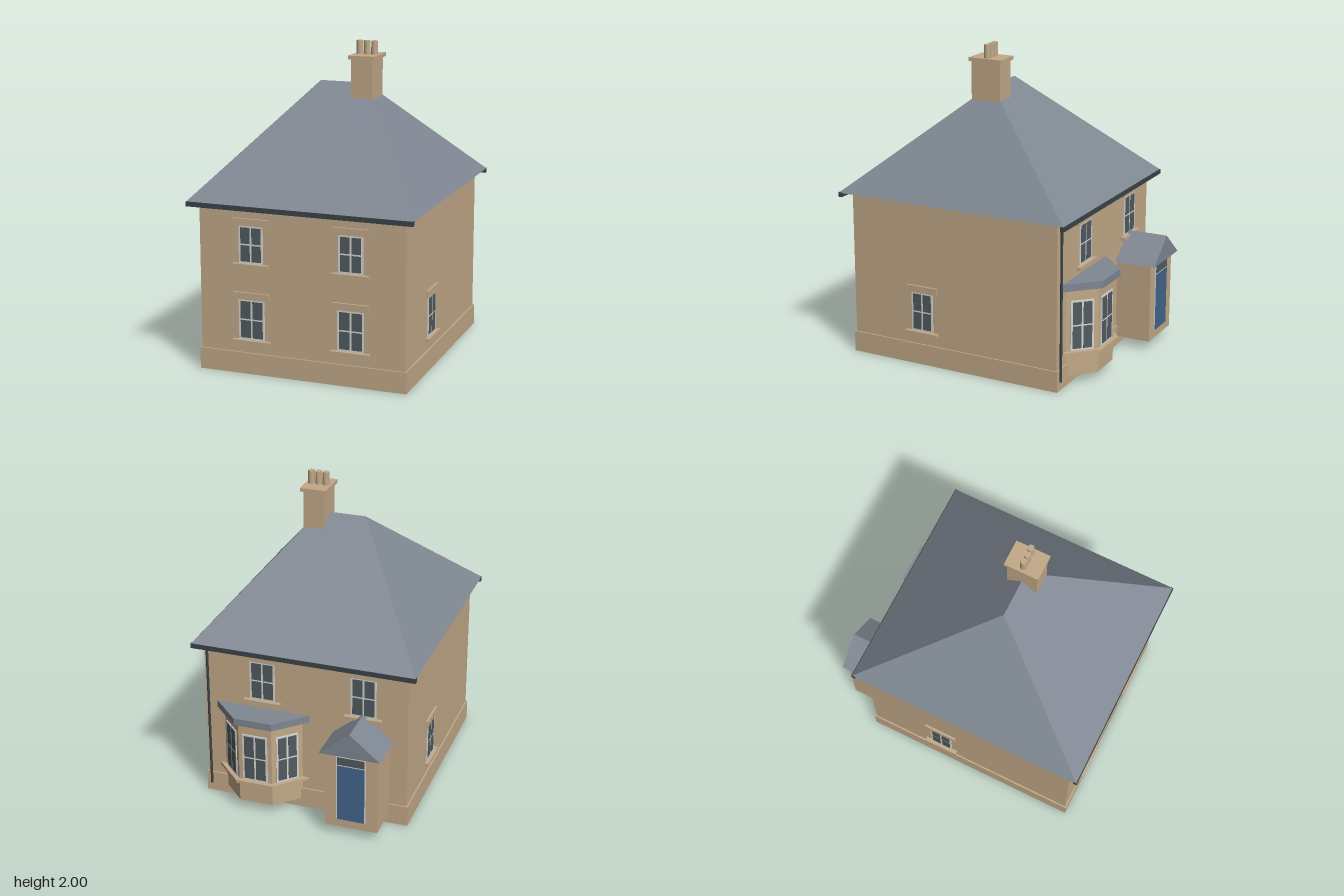
import * as THREE from 'three';
import { ConvexGeometry } from 'three/addons/geometries/ConvexGeometry.js';

const material = (name, color) => {
  const m = new THREE.MeshStandardMaterial({ color });
  m.name = name;
  return m;
};

export function createModel() {
  const stone = material('stone', 0xc2a988);
  const slate = material('slate', 0x7f8792);
  const iron = material('gutter iron', 0x3a4448);
  const glass = material('glass', 0x515b5f);
  const paint = material('window paint', 0xd6d7d5);
  const blue = material('door blue', 0x44658c);

  const house = new THREE.Group();
  house.name = 'house';

  const add = (parent, name, geometry, mat) => {
    const mesh = new THREE.Mesh(geometry, mat);
    mesh.name = name;
    parent.add(mesh);
    return mesh;
  };
  // Box given by its minimum and maximum on each axis
  const block = (parent, name, mat, x0, x1, y0, y1, z0, z1) => {
    const mesh = add(parent, name, new THREE.BoxGeometry(x1 - x0, y1 - y0, z1 - z0), mat);
    mesh.position.set((x0 + x1) / 2, (y0 + y1) / 2, (z0 + z1) / 2);
    return mesh;
  };
  const hull = (name, mat, points) =>
    add(house, name, new ConvexGeometry(points.map((p) => new THREE.Vector3(...p))), mat);

  // Walls and plinth
  block(house, 'walls', stone, -0.665, 0.665, 0.1, 1.072, -0.62, 0.82);
  block(house, 'plinth', stone, -0.675, 0.675, 0, 0.135, -0.63, 0.83);

  // Hipped roof with gutters along the front and back
  hull('roof', slate, [
    [-0.725, 1.072, -0.69], [0.725, 1.072, -0.69], [0.725, 1.072, 0.885], [-0.725, 1.072, 0.885],
    [-0.15, 1.735, 0.0975], [0.15, 1.735, 0.0975],
  ]);
  block(house, 'frontGutter', iron, -0.725, 0.725, 1.045, 1.075, 0.862, 0.887);
  block(house, 'backGutter', iron, -0.725, 0.725, 1.045, 1.075, -0.692, -0.667);
  const pipe = add(house, 'downpipe', new THREE.CylinderGeometry(0.008, 0.008, 1.01, 10), iron);
  pipe.position.set(0.64, 0.565, -0.638);

  // Chimney with three pots
  block(house, 'chimneyStack', stone, 0.09, 0.228, 1.5, 1.895, 0, 0.2);
  block(house, 'chimneyCap', stone, 0.075, 0.245, 1.892, 1.915, -0.015, 0.21);
  for (const x of [0.112, 0.16, 0.208]) {
    const pot = add(house, 'chimneyPot', new THREE.CylinderGeometry(0.021, 0.021, 0.09, 16), stone);
    pot.position.set(x, 1.955, 0.0975);
  }

  // Four-pane window facing +z in its own frame, turned by angle onto a wall
  const addWindow = (name, x, z, angle, y0, y1, w, dressed = true) => {
    const g = new THREE.Group();
    g.name = name;
    block(g, 'frame', paint, -w / 2, w / 2, y0, y1, -0.002, 0.006);
    const pw = (w - 0.036) / 2;
    const ph = (y1 - y0 - 0.034) / 2;
    for (const sx of [-1, 1]) {
      for (const sy of [-1, 1]) {
        const cx = sx * (pw / 2 + 0.006);
        const cy = (y0 + y1) / 2 + sy * (ph / 2 + 0.005);
        block(g, 'pane', glass, cx - pw / 2, cx + pw / 2, cy - ph / 2, cy + ph / 2, 0.004, 0.007);
      }
    }
    if (dressed) {
      const h = w / 2 + 0.035;
      block(g, 'lintel', stone, -h, h, y1, y1 + 0.044, -0.01, 0.014);
      block(g, 'sill', stone, -h - 0.004, h + 0.004, y0 - 0.021, y0, -0.01, 0.028);
    }
    g.position.set(x, 0, z);
    g.rotation.y = angle;
    house.add(g);
  };
  for (const x of [-0.325, 0.32]) {
    addWindow('frontUpperWindow', x, 0.82, 0, 0.705, 0.942, 0.158);
    addWindow('frontLowerWindow', x, 0.82, 0, 0.22, 0.477, 0.17);
  }
  for (const x of [-0.38, 0.28]) {
    addWindow('backUpperWindow', x, -0.62, Math.PI, 0.72, 0.985, 0.165);
  }
  addWindow('leftWindow', 0.665, 0.32, Math.PI / 2, 0.222, 0.48, 0.152);
  addWindow('rightWindow', -0.665, -0.11, -Math.PI / 2, 0.222, 0.48, 0.152);

  // Canted bay: each layer is the same plan grown outward by t
  const bayX = 0.28;
  const bayLayer = (name, mat, t, y0, y1) => {
    const near = 0.11 + 0.414 * t;
    const far = near + 0.15 + t;
    const plan = new THREE.Shape([
      [bayX - far, 0.62], [bayX + far, 0.62], [bayX + near, 0.77 + t], [bayX - near, 0.77 + t],
    ].map((p) => new THREE.Vector2(...p)));
    const geometry = new THREE.ExtrudeGeometry(plan, { depth: y1 - y0, bevelEnabled: false });
    geometry.rotateX(-Math.PI / 2);
    add(house, name, geometry, mat).position.y = y0;
  };
  bayLayer('bayWalls', stone, 0, 0.06, 0.62);
  bayLayer('baySill', stone, 0.03, 0.198, 0.218);
  bayLayer('bayRoof', slate, 0.035, 0.618, 0.665);
  addWindow('bayCentreWindow', bayX, -0.77, Math.PI, 0.22, 0.545, 0.165, false);
  for (const s of [-1, 1]) {
    addWindow('baySideWindow', bayX + s * 0.185, -0.695, Math.PI - s * Math.PI / 4, 0.22, 0.545, 0.15, false);
  }

  // Porch with gabled roof, door and glazed fanlight
  block(house, 'porchWalls', stone, -0.55, -0.21, 0.06, 0.585, -0.855, -0.615);
  const gable = [];
  for (const z of [-0.89, -0.615]) {
    gable.push([-0.575, 0.58, z], [-0.183, 0.58, z], [-0.379, 0.74, z]);
  }
  hull('porchRoof', slate, gable);
  block(house, 'doorFrame', paint, -0.475, -0.285, 0.115, 0.56, -0.859, -0.853);
  block(house, 'door', blue, -0.467, -0.293, 0.115, 0.495, -0.862, -0.856);
  block(house, 'fanlight', glass, -0.467, -0.293, 0.503, 0.554, -0.862, -0.856);

  return house;
}
